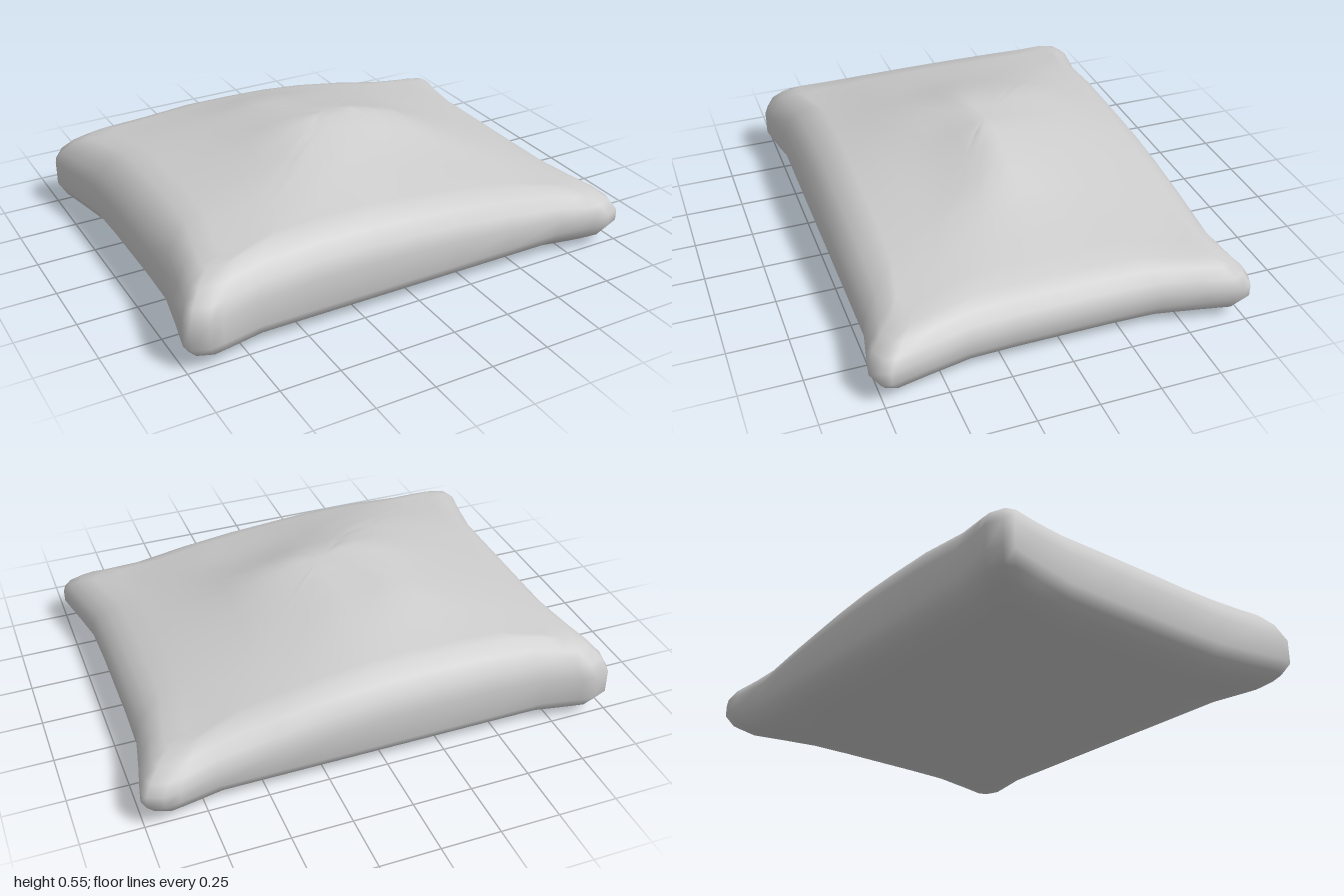
import * as THREE from 'three';
import { mergeVertices } from 'three/addons/utils/BufferGeometryUtils.js';

// Crown heights over a coarse x/z grid (rows run back to front)
const GX = [-0.85, -0.5, -0.22, 0.08, 0.3, 0.48, 0.82];
const GZ = [-0.62, -0.3, 0.05, 0.3, 0.62];
const GY = [
  [0.35, 0.40, 0.40, 0.39, 0.36, 0.33, 0.26],
  [0.38, 0.45, 0.51, 0.48, 0.42, 0.37, 0.28],
  [0.38, 0.46, 0.55, 0.55, 0.49, 0.40, 0.28],
  [0.38, 0.45, 0.50, 0.45, 0.41, 0.38, 0.28],
  [0.35, 0.39, 0.39, 0.37, 0.35, 0.32, 0.26],
];

// Grid cell and fraction for a coordinate, clamped to the ends
function locate(list, v) {
  let i = 0;
  while (i < list.length - 2 && v > list[i + 1]) i++;
  return [i, THREE.MathUtils.clamp((v - list[i]) / (list[i + 1] - list[i]), 0, 1)];
}

function crownHeight(x, z) {
  const [i, u] = locate(GX, x);
  const [j, v] = locate(GZ, z);
  const lerp = THREE.MathUtils.lerp;
  return lerp(lerp(GY[j][i], GY[j][i + 1], u), lerp(GY[j + 1][i], GY[j + 1][i + 1], u), v);
}

// Plan outline: straight pinched sides with rounded corners that stick out
function outline() {
  const q = [
    [0.93, 0], [0.93, 0.2], [0.935, 0.4], [0.97, 0.58], [1, 0.72], [0.985, 0.762],
    [0.92, 0.787], [0.86, 0.777], [0.7, 0.745], [0.45, 0.745], [0.2, 0.745], [0, 0.745],
  ];
  const pts = [];
  for (const [sx, sz, flip] of [[1, 1, 0], [-1, 1, 1], [-1, -1, 0], [1, -1, 1]]) {
    const part = flip ? [...q].reverse() : q;
    part.slice(0, -1).forEach(([x, z]) => pts.push([sx * x, sz * z]));
  }
  return pts;
}

function cushionGeometry() {
  const rim = outline();
  const n = rim.length;
  // Rings from the underside centre, round the rim, to the crown:
  // inset from the rim, then a fixed y or a share of the crown height
  const rings = [
    { s: 0, y: 0 }, { s: 0.5, y: 0 }, { d: 0.16, y: 0.003 }, { d: 0.08, y: 0.022 },
    { d: 0.03, y: 0.055 }, { d: 0, y: 0.105 },
    { d: 0, k: 0.6 }, { d: 0.025, k: 0.76 }, { d: 0.07, k: 0.9 }, { d: 0.13, k: 1 },
    ...[0.78, 0.68, 0.56, 0.44, 0.32, 0.2, 0.1, 0].map((s) => ({ s, k: 1 })),
  ];
  const pos = [];
  const index = [];
  rings.forEach(({ s, d, y, k }, i) => {
    rim.forEach(([rx, rz], j) => {
      const x = rx * (s ?? 1 - d);
      const z = rz * (s ?? 1 - d / 0.78);
      pos.push(x, y ?? k * crownHeight(x, z), z);
      if (i === rings.length - 1) return;
      const a = i * n + j, c = i * n + (j + 1) % n, b = a + n, e = c + n;
      if (i > 0) index.push(a, b, c);
      if (i < rings.length - 2) index.push(b, e, c);
    });
  });
  const geo = new THREE.BufferGeometry();
  geo.setAttribute('position', new THREE.Float32BufferAttribute(pos, 3));
  geo.setIndex(index);
  const merged = mergeVertices(geo, 1e-5);
  merged.computeVertexNormals();
  return merged;
}

export function createModel() {
  const group = new THREE.Group();
  group.name = 'cushion';
  const body = new THREE.Mesh(
    cushionGeometry(),
    new THREE.MeshStandardMaterial({ color: 0xcccccc }),
  );
  body.name = 'cushionBody';
  group.add(body);
  return group;
}
